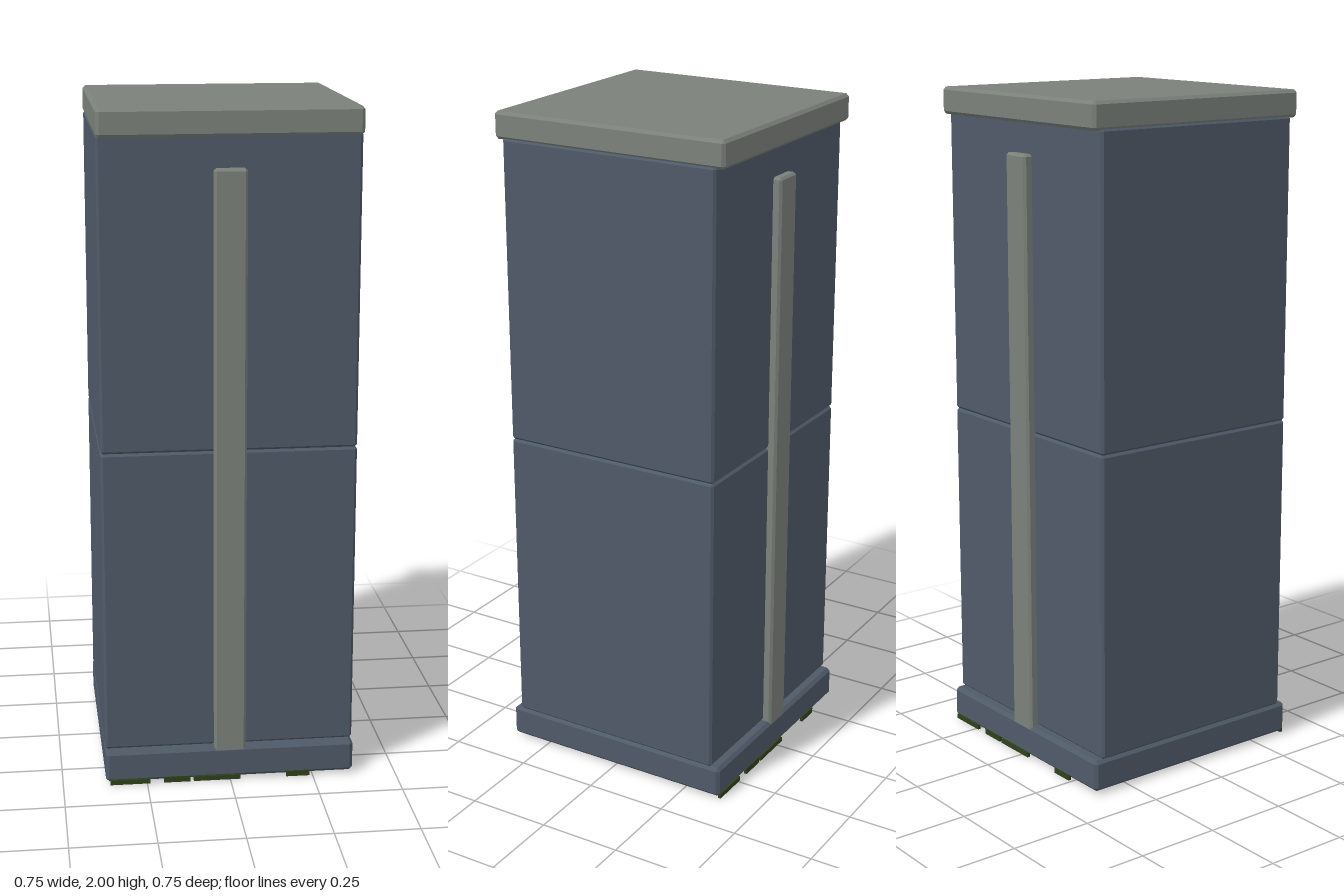
import * as THREE from 'three';
import { ConvexGeometry } from 'three/addons/geometries/ConvexGeometry.js';

const slate = new THREE.MeshStandardMaterial({ name: 'slate blue', color: 0x4f5a68 });
const stone = new THREE.MeshStandardMaterial({ name: 'grey stone', color: 0x7b817a });
const moss = new THREE.MeshStandardMaterial({ name: 'moss green', color: 0x2f4018 });

// Box with every edge chamfered by c, resting on y0
function chamferBox(name, w, y0, y1, d, c, material) {
  const pts = [];
  const h = y1 - y0;
  for (const x of [-1, 1]) for (const y of [-1, 1]) for (const z of [-1, 1]) {
    const px = x * w / 2, py = y * h / 2, pz = z * d / 2;
    pts.push(
      new THREE.Vector3(px, py - y * c, pz - z * c),
      new THREE.Vector3(px - x * c, py, pz - z * c),
      new THREE.Vector3(px - x * c, py - y * c, pz));
  }
  const mesh = new THREE.Mesh(new ConvexGeometry(pts), material);
  mesh.name = name;
  mesh.position.y = (y0 + y1) / 2;
  return mesh;
}

export function createModel() {
  const model = new THREE.Group();
  model.name = 'pillar';

  // Plinth, two stacked blocks and the cap slab
  model.add(
    chamferBox('base', 0.745, 0.008, 0.104, 0.745, 0.01, slate),
    chamferBox('lowerBlock', 0.745, 0.104, 1.018, 0.692, 0.007, slate),
    chamferBox('upperBlock', 0.745, 1.018, 1.925, 0.692, 0.007, slate),
    chamferBox('cap', 0.745, 1.92, 2, 0.745, 0.009, stone));

  // Front and back share the same trim, turned half a circle
  const mossPatches = [
    // x start, x end, height
    [-0.36, -0.24, 0.014], [-0.2, -0.12, 0.018], [-0.11, 0.03, 0.014], [0.17, 0.24, 0.017],
  ];
  for (const [side, turn] of [['front', 0], ['back', Math.PI]]) {
    const face = new THREE.Group();
    face.name = side + 'Trim';
    const strip = chamferBox(side + 'Strip', 0.094, 0.05, 1.832, 0.06, 0.007, stone);
    strip.position.z = 0.342;
    face.add(strip);
    for (const [x0, x1, h] of mossPatches) {
      const patch = new THREE.Mesh(new THREE.BoxGeometry(x1 - x0, h, 0.009), moss);
      patch.name = side + 'Moss';
      patch.position.set((x0 + x1) / 2, h / 2, 0.3695);
      face.add(patch);
    }
    face.rotation.y = turn;
    model.add(face);
  }
  return model;
}
